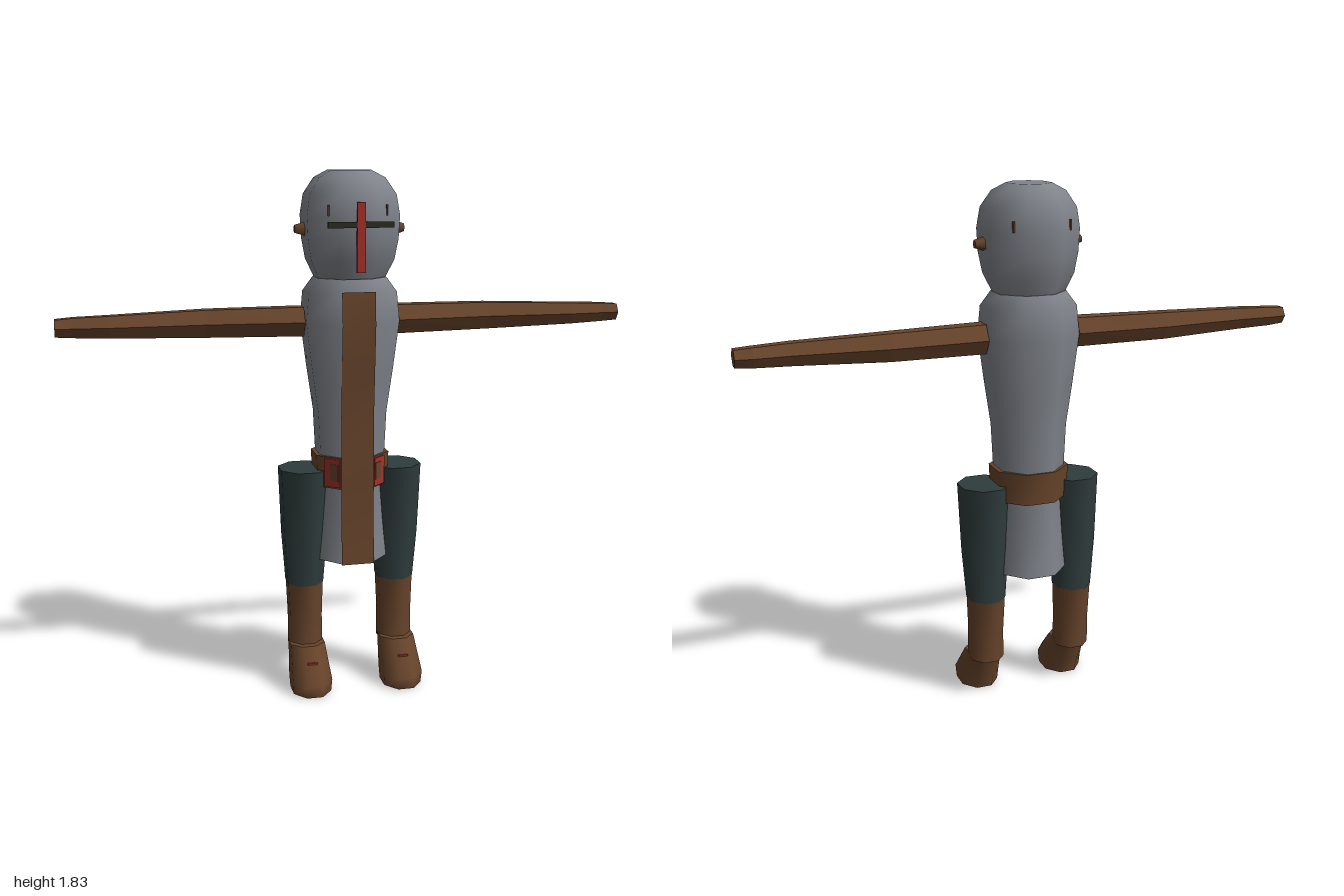
import * as THREE from 'three';

const mat = (name, color) => new THREE.MeshStandardMaterial({ name, color, side: THREE.DoubleSide });

// Closed loft along y. Each row: [y, halfX, halfZ, centreX, centreZ]
function loft(rows, n, phase = 0, fit = 1) {
  const pos = [], idx = [];
  const ring = ([y, rx, rz, cx = 0, cz = 0]) => {
    const start = pos.length / 3;
    for (let i = 0; i < n; i++) {
      const a = (i / n) * Math.PI * 2 + phase;
      pos.push(cx + rx * fit * Math.sin(a), y, cz + rz * fit * Math.cos(a));
    }
    return start;
  };
  const starts = rows.map(ring);
  for (let r = 0; r < rows.length - 1; r++) {
    for (let i = 0; i < n; i++) {
      const j = (i + 1) % n, a = starts[r], b = starts[r + 1];
      idx.push(a + i, a + j, b + j, a + i, b + j, b + i);
    }
  }
  // flat end caps with their own vertices
  const lo = ring(rows[0]), hi = ring(rows[rows.length - 1]);
  for (let i = 1; i < n - 1; i++) {
    idx.push(lo, lo + i + 1, lo + i, hi, hi + i, hi + i + 1);
  }
  const g = new THREE.BufferGeometry();
  g.setAttribute('position', new THREE.Float32BufferAttribute(pos, 3));
  g.setIndex(idx);
  g.computeVertexNormals();
  return g;
}

// Eight-sided loft with flat faces to the front and sides
const octLoft = (rows) => loft(rows, 8, Math.PI / 8, 1 / Math.cos(Math.PI / 8));

export function createModel() {
  const model = new THREE.Group();
  model.name = 'figure';
  const grey = mat('grey cloth', 0x80848b);
  const brown = mat('brown leather', 0x67442b);
  const green = mat('dark green cloth', 0x2f3c3c);
  const red = mat('red', 0xa5302a);
  const dark = mat('dark olive', 0x2c2c1f);

  const add = (name, geometry, material, x = 0, y = 0, z = 0) => {
    const m = new THREE.Mesh(geometry, material);
    m.name = name;
    m.position.set(x, y, z);
    model.add(m);
    return m;
  };
  const box = (name, w, h, d, material, x, y, z) =>
    add(name, new THREE.BoxGeometry(w, h, d), material, x, y, z);

  // Head
  add('head', octLoft([
    [1.465, 0.115, 0.105, 0, -0.02], [1.53, 0.145, 0.135, 0, -0.017],
    [1.6, 0.157, 0.151, 0, -0.015], [1.68, 0.161, 0.157, 0, -0.015],
    [1.75, 0.15, 0.148, 0, -0.017], [1.805, 0.115, 0.115, 0, -0.02],
    [1.83, 0.07, 0.075, 0, -0.022],
  ]), grey);

  // Torso and skirt
  const torso = [
    [0.47, 0.122, 0.132, 0, -0.018], [0.6, 0.112, 0.122, 0, -0.018],
    [0.74, 0.104, 0.112, 0, -0.018], [0.85, 0.115, 0.118, 0, -0.018],
    [1.0, 0.122, 0.121, 0, -0.018], [1.15, 0.143, 0.133, 0, -0.018],
    [1.32, 0.164, 0.147, 0, -0.018], [1.42, 0.155, 0.138, 0, -0.018],
    [1.47, 0.12, 0.112, 0, -0.018],
  ];
  add('torso', octLoft(torso), grey);

  // Belt and its red side plates
  add('belt', octLoft([[0.74, 0.125, 0.12, 0, -0.018], [0.853, 0.13, 0.124, 0, -0.018]]), brown);
  for (const s of [1, -1]) {
    box('beltPlate', 0.062, 0.1, 0.008, red, s * 0.083, 0.797, 0.078).rotation.y = s * 0.75;
    box('beltPlateInset', 0.032, 0.06, 0.008, brown, s * 0.077, 0.8, 0.0865).rotation.y = s * 0.75;
  }

  // Long front panel that follows the torso
  const rows = torso.slice(0, 8).map(([y, , rz, , cz]) => [y, cz + rz + 0.005]);
  rows[2][1] = 0.109;
  rows[3][1] = 0.112;
  rows[7][0] = 1.43;
  const panel = new THREE.PlaneGeometry(0.116, 1, 1, rows.length - 1);
  const p = panel.attributes.position;
  for (let i = 0; i < p.count; i++) {
    const [y, z] = rows[rows.length - 1 - Math.floor(i / 2)];
    p.setY(i, y);
    p.setZ(i, z);
  }
  panel.computeVertexNormals();
  add('frontPanel', panel, brown);

  // Floating face cross
  box('faceBarVertical', 0.028, 0.23, 0.012, red, 0, 1.613, 0.156);
  box('faceBarHorizontal', 0.224, 0.02, 0.009, dark, 0, 1.655, 0.154);

  for (const s of [1, -1]) {
    // Ear and small head slits
    const ear = add('ear', new THREE.CylinderGeometry(0.014, 0.027, 0.04, 5), brown, s * 0.172, 1.635, -0.017);
    ear.rotation.z = -s * Math.PI / 2;
    box('frontSlit', 0.005, 0.036, 0.01, brown, s * 0.1, 1.7, 0.108);
    box('backSlit', 0.005, 0.036, 0.01, brown, s * 0.1, 1.7, -0.14);

    // Arm in three six-sided segments
    const arm = [
      [0.165, 0.058, 0.058, 0, -0.025], [0.5, 0.054, 0.05, 0, -0.04],
      [0.82, 0.043, 0.041, 0, -0.025], [0.94, 0.038, 0.037, 0, -0.031], [1.0, 0.033, 0.034, 0, -0.027],
    ];
    const cuts = { upperArm: [0, 2], forearm: [1, 3], hand: [2, 5] };
    for (const [name, [a, b]] of Object.entries(cuts)) {
      const g = loft(arm.slice(a, b), 6).toNonIndexed();
      g.computeVertexNormals();
      g.rotateZ(-s * Math.PI / 2);
      add(name, g, brown, 0, 1.32, 0);
    }

    // Leg, boot shaft and foot
    const x = s * 0.167;
    add('trouserLeg', octLoft([
      [0.375, 0.064, 0.07, 0, -0.025], [0.55, 0.077, 0.08, 0, -0.021], [0.8, 0.086, 0.092, 0, -0.017],
    ]), green, x);
    add('bootShaft', octLoft([
      [0.138, 0.059, 0.063, 0, -0.018], [0.25, 0.058, 0.063, 0, -0.021], [0.385, 0.063, 0.069, 0, -0.025],
    ]), brown, x);
    add('foot', octLoft([
      [0, 0.068, 0.083, 0, 0.083], [0.045, 0.071, 0.096, 0, 0.083], [0.155, 0.062, 0.06, 0, 0.01],
    ]), brown, x);
    box('footStripe', 0.035, 0.006, 0.006, red, x, 0.11, 0.121);
  }
  return model;
}
